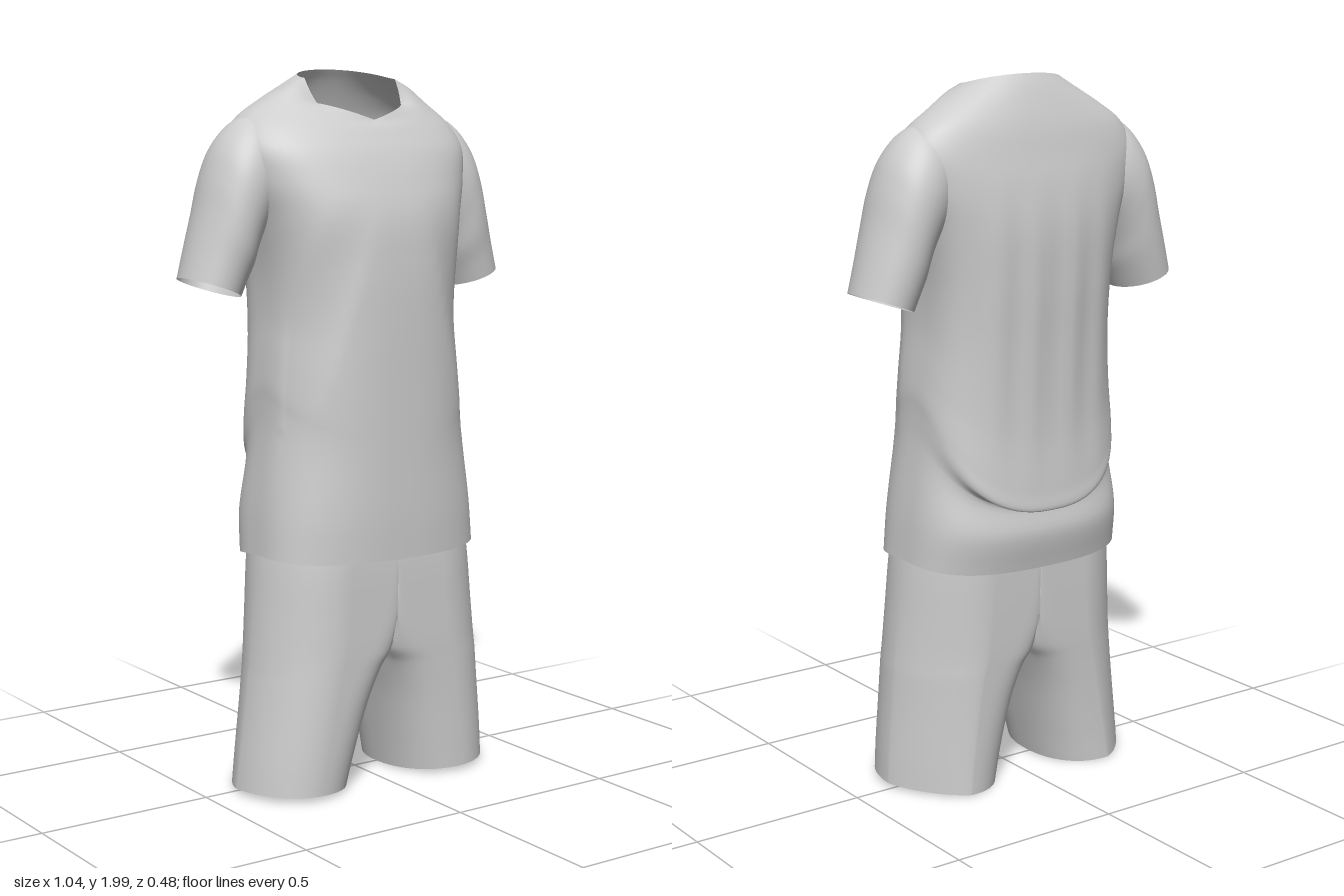
import * as THREE from 'three';
import { mergeGeometries, mergeVertices } from 'three/addons/utils/BufferGeometryUtils.js';

const COLS = 80;
const cloth = new THREE.MeshStandardMaterial({ color: 0xcccccc, side: THREE.DoubleSide });
cloth.name = 'greyCloth';

const spow = (v, p) => Math.sign(v) * Math.abs(v) ** p;
const bump = (v, lo, hi) => (v <= lo || v >= hi ? 0 : Math.sin(((v - lo) / (hi - lo)) * Math.PI));

// Smooth open tube through rings given bottom to top; ring(row, angle) returns a point
function loft(rows, ring, { steps = 6, side = 1, tweak = null, skip = () => false } = {}) {
  const count = (rows.length - 1) * steps;
  const points = [];
  for (let c = 0; c < COLS; c++) {
    const angle = (c / COLS) * Math.PI * 2;
    const curve = new THREE.CatmullRomCurve3(rows.map((row) => ring(row, angle)));
    curve.getPoints(count).forEach((p, r) => {
      if (tweak) tweak(p);
      points[r * COLS + c] = p;
    });
  }
  const index = [];
  const triangle = (a, b, c) => {
    if (skip(points[a], points[b], points[c])) return;
    if (side > 0) index.push(a, b, c);
    else index.push(a, c, b);
  };
  for (let r = 0; r < count; r++) {
    for (let c = 0; c < COLS; c++) {
      const a = r * COLS + c, b = r * COLS + ((c + 1) % COLS);
      triangle(a, a + COLS, b);
      triangle(b, a + COLS, b + COLS);
    }
  }
  const geometry = new THREE.BufferGeometry();
  geometry.setAttribute('position',
    new THREE.Float32BufferAttribute(points.flatMap((p) => [p.x * side, p.y, p.z]), 3));
  geometry.setIndex(index);
  return geometry;
}

function part(name, geometry) {
  geometry.computeVertexNormals();
  const mesh = new THREE.Mesh(geometry, cloth);
  mesh.name = name;
  return mesh;
}

// Shirt body: half width, front z, back z, widest z, front y, side y, back y, roundness, V-neck amount
const BODY = [
  [0.34, 0.237, -0.205, 0.03, 0.662, 0.675, 0.645, 0.78, 0],
  [0.331, 0.24, -0.225, 0.02, 0.77, 0.8, 0.75, 0.78, 0],
  [0.307, 0.24, -0.214, 0.01, 0.92, 1.02, 0.825, 0.8, 0],
  [0.304, 0.24, -0.238, 0.0, 0.98, 1.1, 0.815, 0.8, 0],
  [0.304, 0.24, -0.236, 0.0, 1.04, 1.15, 0.87, 0.8, 0],
  [0.298, 0.24, -0.226, 0.0, 1.16, 1.22, 1.03, 0.8, 0],
  [0.288, 0.24, -0.228, -0.01, 1.3, 1.33, 1.25, 0.8, 0],
  [0.292, 0.237, -0.236, -0.02, 1.46, 1.46, 1.45, 0.8, 0],
  [0.318, 0.224, -0.236, -0.03, 1.6, 1.6, 1.6, 0.82, 0],
  [0.354, 0.193, -0.223, -0.045, 1.7, 1.7, 1.71, 0.85, 0],
  [0.37, 0.16, -0.206, -0.055, 1.775, 1.79, 1.79, 0.88, 0],
  [0.338, 0.135, -0.19, -0.055, 1.815, 1.86, 1.86, 0.92, 0],
  [0.27, 0.118, -0.17, -0.04, 1.84, 1.91, 1.92, 0.95, 0],
  [0.2, 0.104, -0.149, -0.02, 1.853, 1.95, 1.97, 1, 0.3],
  [0.152, 0.095, -0.132, -0.02, 1.86, 1.973, 2.0, 1, 1],
];
function bodyRing([hw, zf, zb, zc, yf, ys, yb, p, vee], angle) {
  const s = Math.sin(angle), t = Math.abs(Math.cos(angle));
  const x = hw * spow(Math.cos(angle), p);
  if (s < 0) {
    return new THREE.Vector3(x, ys + (yb - ys) * -s, zc + (zc - zb) * spow(s, p * 0.75));
  }
  const drop = THREE.MathUtils.lerp(s, Math.min(1 - 0.43 * t, 1.6 * s), vee);
  return new THREE.Vector3(x, ys + (yf - ys) * drop, zc + (zf - zc) * spow(s, p));
}
// Hanging folds: upright on the back, slanting away from the chest on the front
function drape(p) {
  const ax = Math.abs(p.x);
  if (p.z < -0.1) p.z += 0.006 * Math.cos(p.x * 52 + 0.6) * bump(p.y, 0.88, 1.75) * bump(ax, -0.3, 0.3);
  if (p.z > 0.08) {
    const line = ax - 0.13 - (1.5 - p.y) * 0.3;
    p.z -= 0.014 * bump(line, -0.02, 0.12) * bump(p.y, 0.85, 1.65);
  }
}

// Sleeve: outer x, outer y, inner x, inner y, half depth, centre z
const SLEEVE = [
  [0.518, 1.44, 0.358, 1.383, 0.105, -0.06],
  [0.493, 1.53, 0.342, 1.42, 0.112, -0.06],
  [0.468, 1.62, 0.324, 1.46, 0.12, -0.058],
  [0.443, 1.715, 0.308, 1.51, 0.124, -0.058],
  [0.41, 1.793, 0.288, 1.555, 0.125, -0.058],
  [0.358, 1.852, 0.265, 1.59, 0.118, -0.058],
  [0.295, 1.882, 0.245, 1.63, 0.1, -0.058],
];
function sleeveRing([ox, oy, ix, iy, depth, zc], angle) {
  const t = (1 + Math.cos(angle)) / 2;
  return new THREE.Vector3(ix + (ox - ix) * t, iy + (oy - iy) * t, zc + depth * Math.sin(angle));
}

// Shorts half: y, inner x, outer x, front z, back z, inner roundness, hem tilt
const LEG = [
  [0.016, 0.085, 0.4, 0.21, -0.178, 0.9, 0.01],
  [0.1, 0.068, 0.393, 0.212, -0.178, 0.85, 0.005],
  [0.25, 0.035, 0.377, 0.214, -0.18, 0.7, 0],
  [0.35, 0.008, 0.367, 0.215, -0.183, 0.5, 0],
  [0.4, -0.012, 0.362, 0.216, -0.185, 0.36, 0],
  [0.5, -0.025, 0.352, 0.216, -0.187, 0.2, 0],
  [0.67, -0.03, 0.333, 0.214, -0.188, 0.1, 0],
  [0.76, -0.03, 0.315, 0.205, -0.185, 0.1, 0],
];
function legRing([y, xi, xo, zf, zb, inner, tilt], angle) {
  const c = Math.cos(angle), s = Math.sin(angle);
  // The outer back corner slims towards the hem
  const outer = s < 0 ? 1 + 0.45 * Math.max(0, 1 - y / 0.7) : 1;
  const p = c < 0 ? inner : outer;
  const x = (xi + xo) / 2 + ((xo - xi) / 2) * spow(c, p);
  const z = (zf + zb) / 2 + ((zf - zb) / 2) * spow(s, p);
  return new THREE.Vector3(Math.max(x, 0), y + tilt * s * 0.6 + tilt * c * 0.5, z);
}

// The halves join along the centre line with no wall left between them;
// both legs swing slightly to the model's right towards the hem
function shortsHalf(side) {
  return loft(LEG, legRing, {
    side,
    tweak: (p) => { p.x = Math.max(p.x - 0.012 * side * Math.max(0, 1 - p.y / 0.35), 0); },
    skip: (a, b, c) => Math.max(a.x, b.x, c.x) < 0.002,
  });
}

export function createModel() {
  const model = new THREE.Group();
  model.name = 'shirtAndShorts';

  const shirt = new THREE.Group();
  shirt.name = 'shirt';
  shirt.add(part('shirtBody', loft(BODY, bodyRing, { tweak: drape })));
  shirt.add(part('leftSleeve', loft(SLEEVE, sleeveRing, { side: 1 })));
  shirt.add(part('rightSleeve', loft(SLEEVE, sleeveRing, { side: -1 })));

  const halves = mergeGeometries([shortsHalf(1), shortsHalf(-1)]);
  model.add(shirt, part('shorts', mergeVertices(halves, 0.0005)));
  return model;
}
